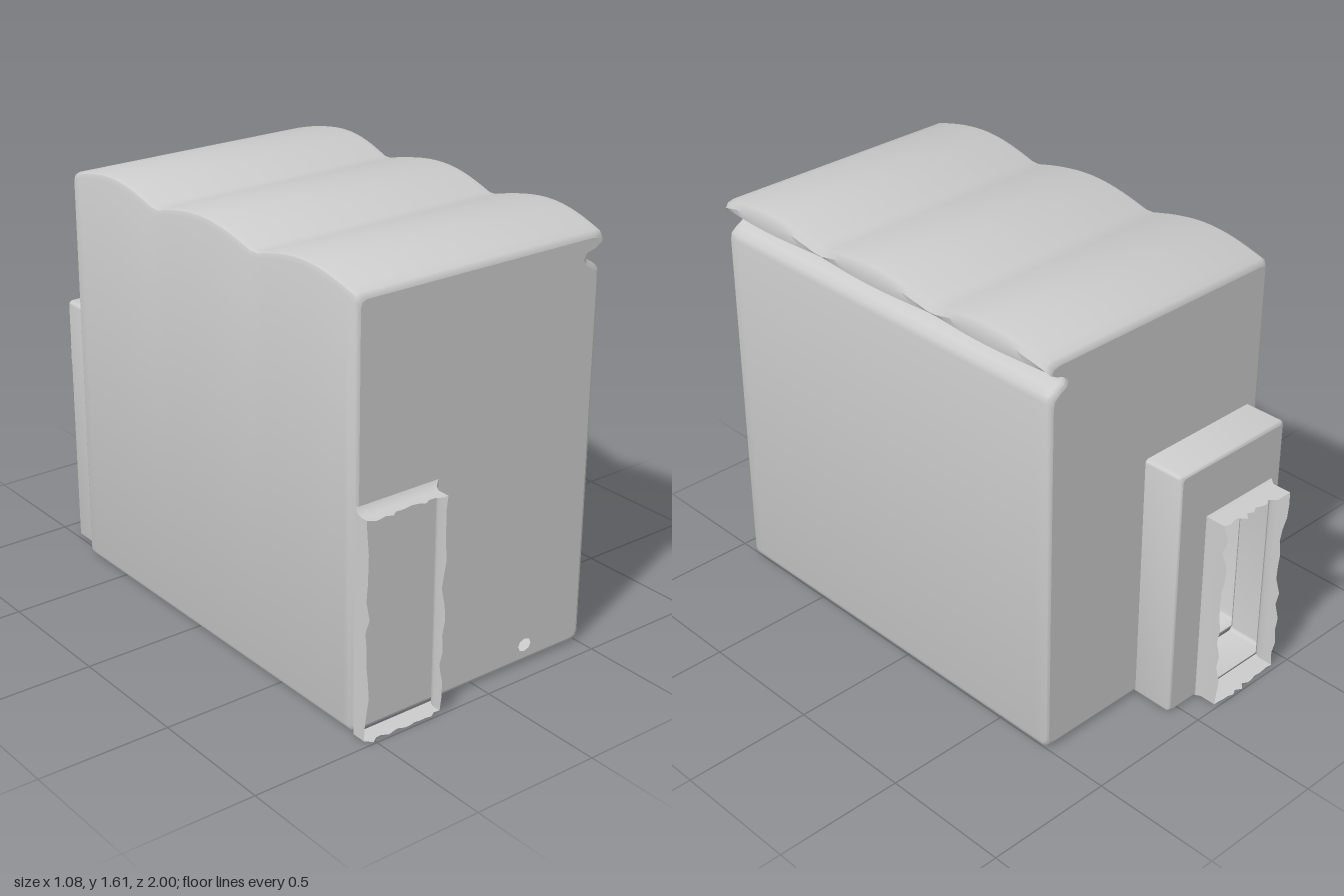
import * as THREE from 'three';
import { toCreasedNormals } from 'three/addons/utils/BufferGeometryUtils.js';

const material = new THREE.MeshStandardMaterial({ color: 0xcccccc, side: THREE.DoubleSide });

let seed = 7;
const random = () => (seed = (seed * 16807) % 2147483647) / 2147483647;

// Skin over closed rings of [x, y, z], counterclockwise, running from +z to -z
function loft(name, rings) {
  const n = rings[0].length;
  const index = [];
  for (let i = 0; i < rings.length - 1; i++) {
    for (let j = 0; j < n; j++) {
      const a = i * n + j, b = i * n + (j + 1) % n;
      index.push(a, a + n, b, b, a + n, b + n);
    }
  }
  const geo = new THREE.BufferGeometry();
  geo.setAttribute('position', new THREE.Float32BufferAttribute(rings.flat(2), 3));
  geo.setIndex(index);
  const mesh = new THREE.Mesh(toCreasedNormals(geo, 0.7), material);
  mesh.name = name;
  return mesh;
}

// Flat wall with openings, facing +z or -z
function wall(name, outline, holes, z, facingBack = false) {
  const shape = new THREE.Shape(outline.map(([x, y]) => new THREE.Vector2(x, y)));
  for (const h of holes) shape.holes.push(new THREE.Path(h.map(([x, y]) => new THREE.Vector2(x, y))));
  const geo = new THREE.ShapeGeometry(shape);
  if (facingBack) {
    geo.index.array.reverse();
    const normal = geo.attributes.normal;
    for (let i = 0; i < normal.count; i++) normal.setZ(i, -1);
  }
  geo.translate(0, 0, z);
  const mesh = new THREE.Mesh(geo, material);
  mesh.name = name;
  return mesh;
}

const rect = (x0, x1, y0, y1) => [[x0, y0], [x1, y0], [x1, y1], [x0, y1]];

// Rectangle with small rounded corners
function roundRect(x0, x1, y0, y1, r) {
  const corners = [[x0 + r, y0 + r], [x1 - r, y0 + r], [x1 - r, y1 - r], [x0 + r, y1 - r]];
  return corners.flatMap(([cx, cy], k) => [0, 1, 2, 3].map((s) => {
    const a = Math.PI * (1 + k / 2 + s / 6);
    return [cx + r * Math.cos(a), cy + r * Math.sin(a)];
  }));
}

// Split every edge of a loop into short steps
function subdivide(loop, steps) {
  return loop.flatMap(([x, y], i) => {
    const [u, v] = loop[(i + 1) % loop.length];
    return Array.from({ length: steps }, (_, s) => [x + (u - x) * s / steps, y + (v - y) * s / steps]);
  });
}

// Three shallow arches along z
const valleys = [0.92, 0.38, -0.2, -0.74];
function arch(z) {
  for (let i = 0; i < 3; i++) {
    if (z <= valleys[i] && z >= valleys[i + 1]) {
      return Math.sin(Math.PI * (valleys[i] - z) / (valleys[i] - valleys[i + 1]));
    }
  }
  return 0;
}

// Body cross-section: straight left wall, groove and lip at the top right
function section(z, inset) {
  const h = arch(z), top = 1.57 + 0.05 * h, lip = 0.52 + 0.017 * h;
  return [
    [-0.538, 0.04], [-0.532, 0.025], [-0.515, 0.018],
    [0.485, 0.018], [0.503, 0.025], [0.51, 0.045],
    [0.512, 1.42], [0.507, 1.445], [0.485, 1.463], [0.455, 1.48],
    [0.447, 1.5], [0.46, 1.522], [0.5, 1.532], [lip, 1.545],
    [lip + 0.004, top - 0.025], [lip - 0.008, top - 0.006], [lip - 0.035, top],
    [-0.515, top], [-0.532, top - 0.008], [-0.538, top - 0.025],
  ].map(([x, y]) => [x - Math.sign(x) * inset, y + (y < 0.8 ? inset : -inset)]);
}

const at = (loop, z) => loop.map(([x, y]) => [x, y, z]);

export function createModel() {
  const model = new THREE.Group();
  model.name = 'roomShell';

  // Hollow body with the arched roof
  const rings = [[0.92, 0.016], [0.916, 0.006], [0.905, 0]];
  for (let i = 1; i < 42; i++) rings.push([0.905 - 1.63 * i / 42, 0]);
  rings.push([-0.725, 0], [-0.736, 0.006], [-0.74, 0.016]);
  model.add(loft('bodyAndRoof', rings.map(([z, inset]) => at(section(z, inset), z))));

  // Front wall with a doorway and a small hole low on the other side
  const smallHole = Array.from({ length: 8 }, (_, i) => {
    const a = i * Math.PI / 4;
    return [0.24 + 0.03 * Math.cos(a), 0.085 + 0.025 * Math.sin(a)];
  });
  model.add(wall('frontWall', section(0.92, 0.016), [rect(-0.519, -0.19, 0.037, 0.865), smallHole], 0.92));

  // Back wall, open into the porch
  model.add(wall('backWall', section(-0.74, 0.016), [rect(-0.485, 0.045, 0.037, 1.01)], -0.74, true));

  // Front door frame: flared at the wall, ragged at the outer end
  const frontDoor = (o) => subdivide(rect(-0.536, -0.212 + o, 0.018, 0.835 + o), 14);
  model.add(loft('frontDoorFrame', [
    frontDoor(0).map(([x, y]) => [x, y, 0.975 + 0.025 * random()]),
    at(frontDoor(0), 0.95), at(frontDoor(0.006), 0.932), at(frontDoor(0.025), 0.919),
  ]));

  // Back porch box
  const porch = (o) => roundRect(-0.49 + o, 0.05 - o, 0.012 + o, 1.02 - o, 0.015);
  model.add(loft('backPorch', [
    at(porch(0), -0.735), at(porch(0), -0.89), at(porch(0.004), -0.898), at(porch(0.012), -0.902),
  ]));
  model.add(wall('backPorchWall', porch(0.012), [rect(-0.435, -0.1, 0.025, 0.8)], -0.902, true));

  // Back door frame with a ragged outer end
  const backDoor = (o) => subdivide(rect(-0.43 - o, -0.105 + o, 0.015, 0.79 + o), 14);
  model.add(loft('backDoorFrame', [
    at(backDoor(0.012), -0.9), at(backDoor(0), -0.92), at(backDoor(0), -0.95),
    backDoor(0).map(([x, y]) => [x, y, -0.97 - 0.03 * random()]),
  ]));

  return model;
}
